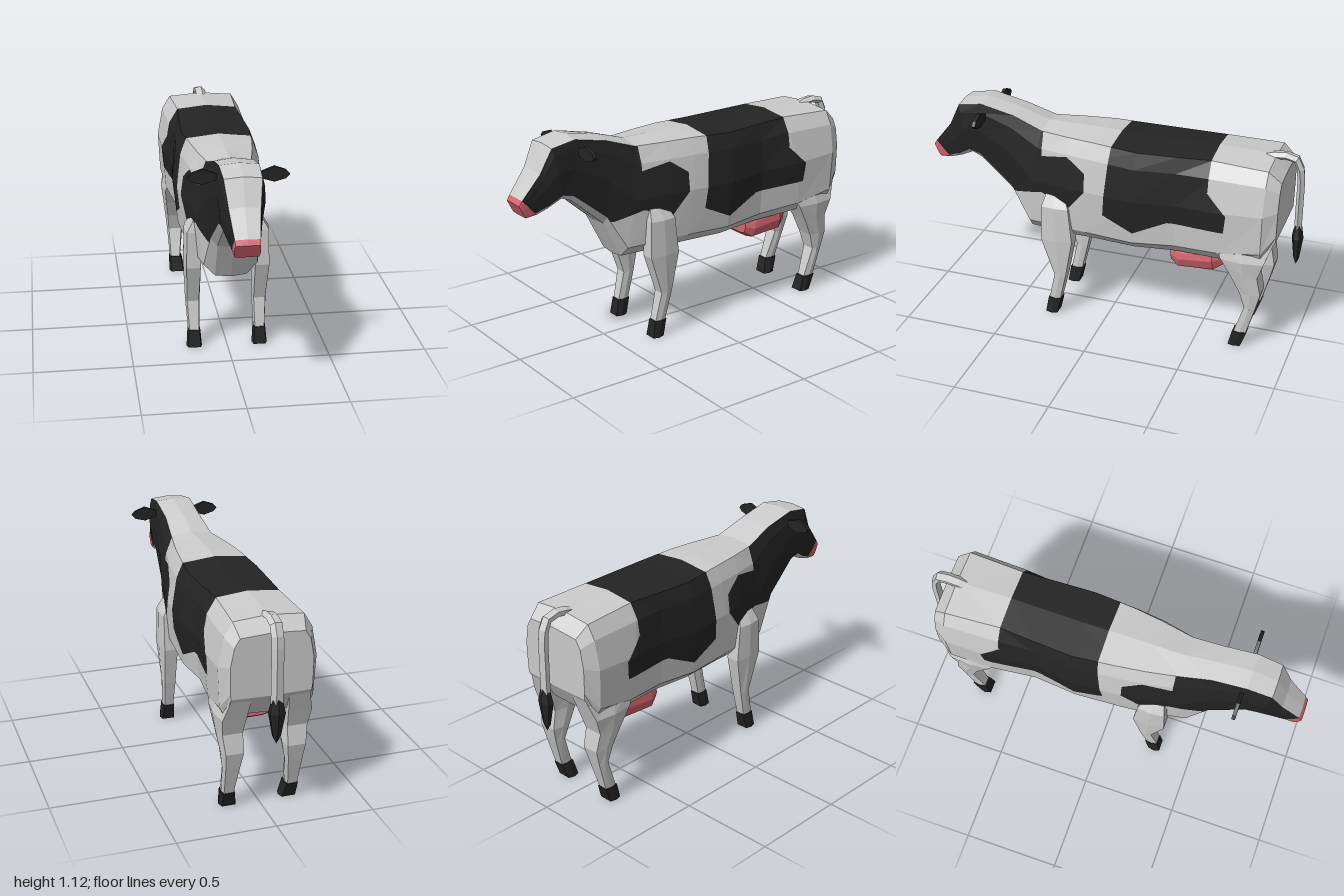
import * as THREE from 'three';

const WHITE = 0xcccccc, BLACK = 0x242424, PINK = 0xd4656f;
const lerp = THREE.MathUtils.lerp;
const V = (x, y, z) => new THREE.Vector3(x, y, z);

// Flat-shaded mesh from a list of convex polygons
function polyMesh(name, polys, color) {
  const pos = [];
  for (const p of polys)
    for (let i = 1; i < p.length - 1; i++)
      for (const v of [p[0], p[i], p[i + 1]]) pos.push(v.x, v.y, v.z);
  const g = new THREE.BufferGeometry();
  g.setAttribute('position', new THREE.Float32BufferAttribute(pos, 3));
  g.computeVertexNormals();
  return makeMesh(name, g, color);
}

function makeMesh(name, geometry, color) {
  const m = new THREE.Mesh(geometry, new THREE.MeshStandardMaterial({ color, flatShading: true }));
  m.name = name;
  return m;
}

// Triangles joining closed rings, with fan caps; each is tagged with its ring edge (-1 for caps)
function loft(rings) {
  const tris = [], n = rings[0].length;
  const add = (edge, ...p) => { p.edge = edge; tris.push(p); };
  for (let i = 0; i < rings.length - 1; i++)
    for (let j = 0; j < n; j++) {
      const k = (j + 1) % n, [a, b] = [rings[i], rings[i + 1]];
      // mirrored diagonals on the two halves
      if (j < n / 2) { add(j, a[j], a[k], b[k]); add(j, a[j], b[k], b[j]); }
      else { add(j, a[j], a[k], b[j]); add(j, a[k], b[k], b[j]); }
    }
  const cap = (r, flip) => {
    const c = r.reduce((s, v) => s.add(v), V(0, 0, 0)).divideScalar(n);
    r.forEach((v, j) => {
      const w = r[(j + 1) % n];
      flip ? add(-1, c, w, v) : add(-1, c, v, w);
    });
  };
  cap(rings[0], true);
  cap(rings[rings.length - 1], false);
  // turn everything outward
  const volume = tris.reduce((s, [a, b, c]) => s + a.dot(b.clone().cross(c)), 0);
  if (volume < 0) tris.forEach(t => t.reverse());
  return tris;
}

// Body cross-section: top point, bottom point, half widths at top, middle and bottom
function section([zT, yT, zB, yB, wT, wM, wB]) {
  const rows = [[0, 0], [wT, 0.03], [lerp(wT, wM, 0.6), 0.17], [wM, 0.47],
    [lerp(wM, wB, 0.3), 0.89], [wB, 0.985], [0, 1]];
  const at = ([x, t], s) => V(x * s, lerp(yT, yB, t), lerp(zT, zB, t));
  return [...rows.map(r => at(r, 1)), ...rows.slice(1, 6).reverse().map(r => at(r, -1))];
}

// Split a polygon by a line in the side plane (z, y): returns [inside, outside]
function split(poly, p, q, sign) {
  const d = v => sign * ((q[0] - p[0]) * (v.y - p[1]) - (q[1] - p[1]) * (v.z - p[0]));
  const inside = [], outside = [];
  poly.forEach((a, i) => {
    const b = poly[(i + 1) % poly.length], da = d(a), db = d(b);
    if (da >= 0) inside.push(a);
    if (da <= 0) outside.push(a);
    if (da * db < 0) {
      const m = a.clone().lerp(b, da / (da - db));
      inside.push(m);
      outside.push(m);
    }
  });
  return [inside, outside];
}

// Cut a convex side-view patch out of the faces; returns [covered, rest]
function cutPatch(faces, outline) {
  const n = outline.length, covered = [], rest = [];
  const area = outline.reduce((s, p, i) => {
    const q = outline[(i + 1) % n];
    return s + p[0] * q[1] - q[0] * p[1];
  }, 0);
  for (const face of faces) {
    let cur = face;
    for (let i = 0; i < n && cur.length > 2; i++) {
      const [inn, out] = split(cur, outline[i], outline[(i + 1) % n], Math.sign(area));
      if (out.length > 2) { out.edge = face.edge; rest.push(out); }
      cur = inn;
    }
    if (cur.length > 2) covered.push(cur);
  }
  return [covered, rest];
}

// Leg ring: height, front z, back z, inner x, outer x
function legRing([y, zF, zB, xI, xO], side) {
  const w = (xO - xI) * 0.1, zM = (zF + zB) / 2;
  return [[xI + w, zF], [xO - w, zF], [xO, zM], [xO - w, zB], [xI + w, zB], [xI, zM]]
    .map(([x, z]) => V(x * side, y, z));
}

export function createModel() {
  const cow = new THREE.Group();
  cow.name = 'cow';

  // Body, neck and head in one skin, from rump to nose
  const muzzleBase = [0.985, 0.855, 0.905, 0.765, 0.06, 0.064, 0.057];
  const stations = [
    [-0.905, 0.965, -0.90, 0.645, 0.16, 0.205, 0.20],
    [-0.84, 1.03, -0.83, 0.53, 0.175, 0.245, 0.21],
    [-0.55, 1.04, -0.63, 0.485, 0.16, 0.24, 0.18],
    [-0.38, 1.035, -0.38, 0.465, 0.17, 0.21, 0.14],
    [-0.17, 1.03, -0.15, 0.447, 0.18, 0.23, 0.14],
    [0.05, 1.04, 0.10, 0.455, 0.16, 0.215, 0.135],
    [0.20, 1.04, 0.20, 0.455, 0.14, 0.20, 0.135],
    [0.36, 1.04, 0.44, 0.44, 0.11, 0.16, 0.08],
    [0.52, 1.09, 0.54, 0.64, 0.095, 0.13, 0.08],
    [0.70, 1.125, 0.72, 0.80, 0.095, 0.11, 0.075],
    [0.83, 1.10, 0.77, 0.82, 0.09, 0.11, 0.07],
    [0.89, 0.975, 0.84, 0.785, 0.075, 0.085, 0.06],
    muzzleBase,
  ];
  let skin = loft(stations.map(section));

  // Dark patches, as convex outlines in (z, y)
  const patches = [
    { name: 'headPatch', outline: [[1.1, 1.3], [0.35, 1.3], [0.35, 0.70], [0.50, 0.66], [1.1, 0.66]] },
    { name: 'shoulderPatch', outline: [[0.35, 0.90], [0.20, 0.93], [0.10, 0.86], [0.10, 0.76], [0.19, 0.65], [0.35, 0.70]] },
    { name: 'saddlePatch', top: true, outline: [[-0.06, 1.3], [-0.035, 1.03], [0.03, 0.74], [0.005, 0.65], [-0.16, 0.57],
      [-0.34, 0.66], [-0.50, 0.75], [-0.55, 0.88], [-0.55, 1.3]] },
    { name: 'flankPatch', outline: [[-0.55, 0.87], [-0.65, 0.77], [-0.64, 0.67], [-0.34, 0.66], [-0.40, 0.74]] },
  ];
  for (const { name, outline, top } of patches) {
    const allowed = f => (f.edge >= 1 && f.edge <= 3) || (f.edge >= 8 && f.edge <= 10)
      || (top && (f.edge === 0 || f.edge === 11));
    const [covered, rest] = cutPatch(skin.filter(allowed), outline);
    skin = [...skin.filter(f => !allowed(f)), ...rest];
    cow.add(polyMesh(name, covered, BLACK));
  }
  cow.add(polyMesh('body', skin, WHITE));

  // Muzzle
  cow.add(polyMesh('muzzle', loft([muzzleBase, [1.0, 0.83, 0.965, 0.76, 0.057, 0.061, 0.055]].map(section)), PINK));

  // Udder
  const udder = [[-0.34, 0.47, -0.34, 0.395, 0.11, 0.12, 0.08], [-0.40, 0.48, -0.38, 0.363, 0.13, 0.143, 0.08],
    [-0.56, 0.50, -0.57, 0.375, 0.13, 0.143, 0.08], [-0.62, 0.50, -0.63, 0.41, 0.09, 0.10, 0.06]];
  cow.add(polyMesh('udder', loft(udder.map(section)), PINK));

  // Legs, hooves and ears, mirrored
  const legs = {
    front: [[0.70, 0.32, 0.22, 0.12, 0.18], [0.64, 0.335, 0.19, 0.125, 0.216], [0.45, 0.34, 0.17, 0.13, 0.22],
      [0.24, 0.272, 0.21, 0.135, 0.21], [0.09, 0.305, 0.245, 0.14, 0.20]],
    rear: [[0.65, -0.56, -0.895, 0.08, 0.205], [0.52, -0.63, -0.85, 0.09, 0.24],
      [0.43, -0.68, -0.82, 0.10, 0.228], [0.33, -0.73, -0.838, 0.10, 0.215], [0.24, -0.757, -0.815, 0.115, 0.205],
      [0.08, -0.705, -0.77, 0.135, 0.195]],
  };
  const hooves = {
    front: [[0.09, 0.31, 0.24, 0.137, 0.203], [0, 0.325, 0.262, 0.13, 0.21]],
    rear: [[0.085, -0.70, -0.775, 0.128, 0.20], [0, -0.68, -0.745, 0.112, 0.20]],
  };
  const earShape = new THREE.Shape([[0.08, 1.05], [0.12, 1.035], [0.17, 1.02], [0.225, 1.035],
    [0.243, 1.055], [0.225, 1.075], [0.17, 1.095], [0.13, 1.08], [0.08, 1.06]].map(p => new THREE.Vector2(...p)));
  for (const [label, side] of [['left', 1], ['right', -1]]) {
    for (const end of ['front', 'rear']) {
      cow.add(polyMesh(`${label} ${end} leg`, loft(legs[end].map(r => legRing(r, side))), WHITE));
      cow.add(polyMesh(`${label} ${end} hoof`, loft(hooves[end].map(r => legRing(r, side))), BLACK));
    }
    const ear = makeMesh(`${label} ear`, new THREE.ExtrudeGeometry(earShape, { depth: 0.018, bevelEnabled: false }), BLACK);
    // a half turn carries the ear to the other side
    ear.position.z = side > 0 ? 0.672 : 0.69;
    if (side < 0) ear.rotation.y = Math.PI;
    cow.add(ear);
  }

  // Tail and its dark tuft
  const tailPath = new THREE.CatmullRomCurve3([V(0, 1.01, -0.78), V(0, 1.033, -0.87), V(0, 1.015, -0.945),
    V(0, 0.94, -0.967), V(0, 0.80, -0.97), V(0, 0.64, -0.97)]);
  const tail = makeMesh('tail', new THREE.TubeGeometry(tailPath, 10, 0.02, 5), WHITE);
  tail.scale.x = 1.6;
  cow.add(tail);
  const tuftProfile = [[0, 0.43], [0.015, 0.47], [0.03, 0.59], [0.018, 0.66], [0, 0.665]];
  const tuft = makeMesh('tailTuft', new THREE.LatheGeometry(tuftProfile.map(p => new THREE.Vector2(...p)), 6), BLACK);
  tuft.position.z = -0.97;
  tuft.scale.x = 1.5;
  cow.add(tuft);

  return cow;
}
